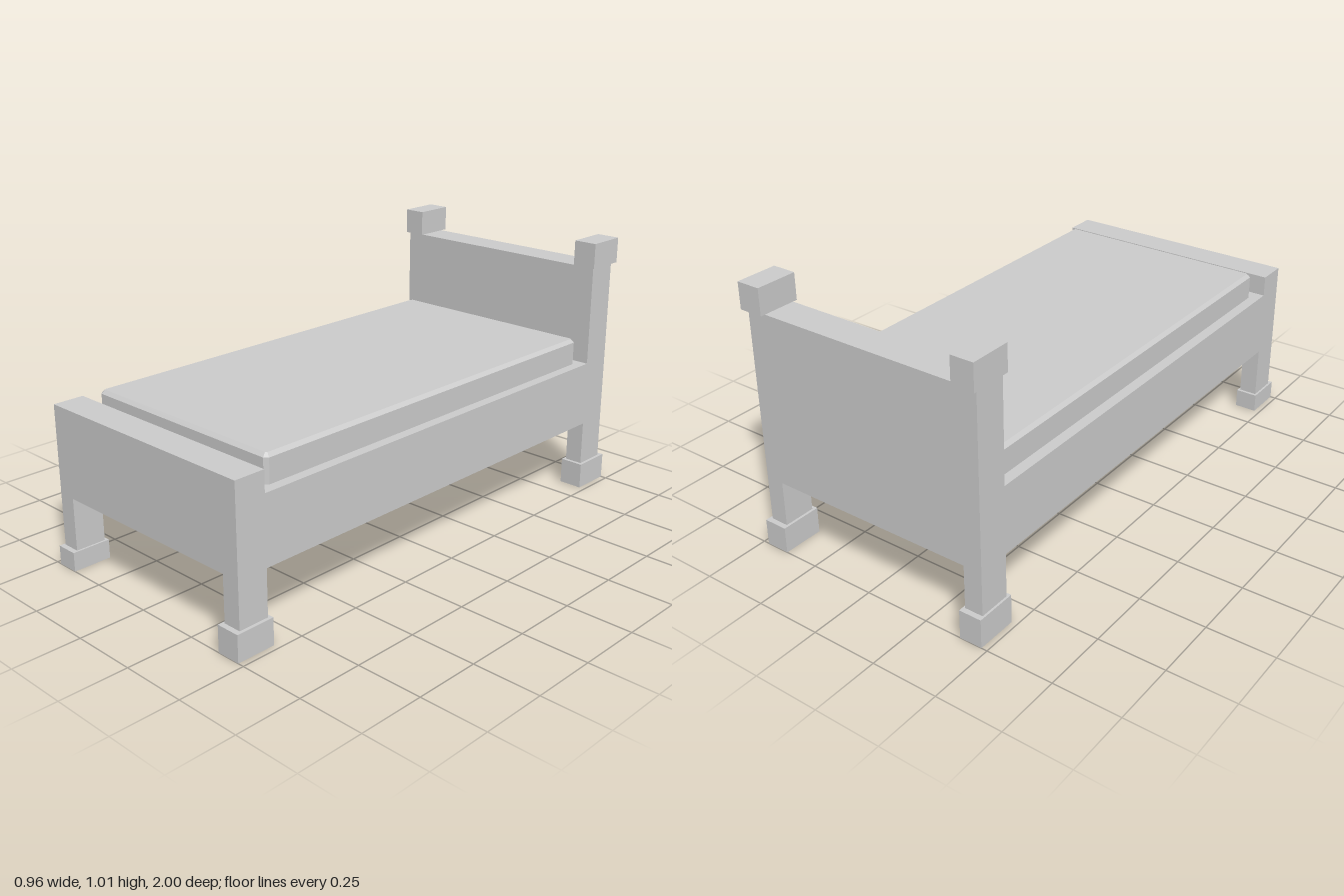
import * as THREE from 'three';

const material = new THREE.MeshStandardMaterial({ color: 0xcccccc, flatShading: true });

export function createModel() {
  const bed = new THREE.Group();
  bed.name = 'bed';

  const add = (name, geometry) => {
    const mesh = new THREE.Mesh(geometry, material);
    mesh.name = name;
    bed.add(mesh);
    return mesh;
  };

  // Box given by its extents on each axis
  const box = (name, [x0, x1], [y0, y1], [z0, z1]) =>
    add(name, new THREE.BoxGeometry(x1 - x0, y1 - y0, z1 - z0))
      .position.set((x0 + x1) / 2, (y0 + y1) / 2, (z0 + z1) / 2);

  const outline = (points) => new THREE.Shape(points.map(([x, y]) => new THREE.Vector2(x, y)));

  // Headboard, base and footboard: one side profile (z, y) extruded across the width
  const left = 0.465, right = -0.47, under = 0.272;
  const profile = outline([
    [-0.98, under], [0.98, under], [0.98, 0.604], [0.862, 0.604],
    [0.862, 0.525], [-0.857, 0.525], [-0.857, 0.91], [-0.98, 0.91],
  ]);
  const frame = new THREE.ExtrudeGeometry(profile, { depth: left - right, bevelEnabled: false });
  frame.rotateY(-Math.PI / 2); // profile x becomes z, depth runs toward -x
  frame.translate(left, 0, 0);
  add('frame', frame);

  // Mattress: chamfered corners and a bevelled top edge, bottom sunk into the base
  const mx0 = -0.43, mx1 = 0.427, mz0 = -0.826, mz1 = 0.82, c = 0.013;
  const plan = outline([
    [mx0 + c, -mz1], [mx1 - c, -mz1], [mx1, -mz1 + c], [mx1, -mz0 - c],
    [mx1 - c, -mz0], [mx0 + c, -mz0], [mx0, -mz0 - c], [mx0, -mz1 + c],
  ]);
  const mattress = new THREE.ExtrudeGeometry(plan, {
    depth: 0.1, bevelThickness: c, bevelSize: c, bevelOffset: -c, bevelSegments: 1,
  });
  mattress.rotateX(-Math.PI / 2);
  mattress.translate(0, 0.627 - 0.1 - c, 0);
  add('mattress', mattress);

  // Legs and block feet, with slightly uneven foot heights
  const corners = [
    { name: 'frontLeft', side: 1, front: true, foot: 0.1 },
    { name: 'frontRight', side: -1, front: true, foot: 0.072 },
    { name: 'backLeft', side: 1, front: false, foot: 0.1 },
    { name: 'backRight', side: -1, front: false, foot: 0.109 },
  ];
  for (const { name, side, front, foot } of corners) {
    const legX = side > 0 ? [0.395, left] : [right, -0.4];
    const blockX = side > 0 ? [0.385, 0.477] : [-0.478, -0.392];
    const legZ = front ? [0.862, 0.98] : [-0.98, -0.857];
    const blockZ = front ? [0.85, 1] : [-1, -0.843];
    box(name + 'Leg', legX, [foot, under], legZ);
    box(name + 'Foot', blockX, [0, foot], blockZ);
    // Square caps on the headboard posts
    if (!front) box(name + 'PostCap', blockX, [0.912, 1.01], blockZ);
  }

  return bed;
}
